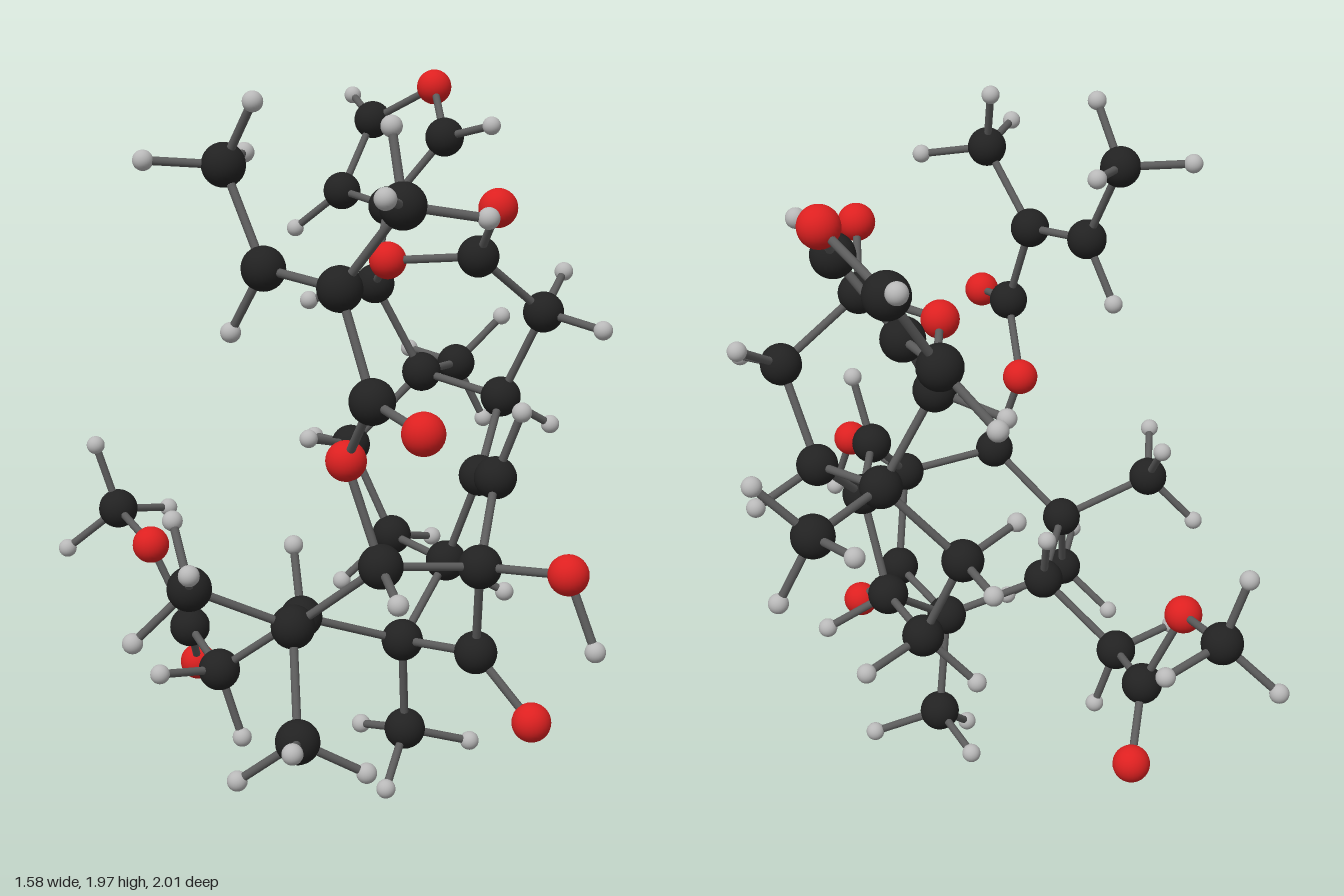
import * as THREE from 'three';

const V = (x, y, z) => new THREE.Vector3(x, y, z);

// Heavy atoms by fragment: id: [element, x, y, z]
const FRAGMENTS = {
  unsaturatedEster: {
    methylA: ['C', -0.437, 1.785, 0.205], methylB: ['C', -0.217, 1.725, 0.768],
    alkeneCH: ['C', -0.395, 1.535, 0.355], alkeneC: ['C', -0.3, 1.51, 0.598],
    acylC: ['C', -0.27, 1.248, 0.715], acylO: ['O', -0.254, 1.213, 0.947],
    linkO: ['O', -0.25, 1.06, 0.532],
  },
  bridgedRings: {
    r1: ['C', -0.193, 0.797, 0.615], r2: ['C', -0.36, 0.612, 0.445],
    r3: ['C', -0.212, 0.542, 0.18], r4: ['C', 0.08, 0.445, 0.22],
    r5: ['C', 0.15, 0.485, 0.508], r6: ['C', 0.1, 0.757, 0.61],
    r7: ['C', 0.247, 0.94, 0.432], r8: ['C', 0.335, 0.885, 0.195],
    r9: ['C', 0.294, 0.612, 0.082],
    methylC: ['C', -0.626, 0.736, 0.395], methylD: ['C', -0.42, 0.36, 0.6],
    methylE: ['C', 0.122, 0.156, 0.16],
    hydroxyO: ['O', 0.212, 0.786, 0.858], ketoneO: ['O', 0.243, 0.318, 0.647],
  },
  methylEster: {
    chainC: ['C', -0.384, 0.362, 0.005], esterC: ['C', -0.357, 0.402, -0.278],
    esterO: ['O', -0.273, 0.237, -0.425], methoxyO: ['O', -0.447, 0.643, -0.347],
    methoxyC: ['C', -0.447, 0.688, -0.617],
  },
  lactoneRings: {
    c1: ['C', 0.27, 0.62, -0.21], c2: ['C', 0.185, 0.885, -0.315],
    c3: ['C', 0.39, 1.1, -0.252], c4: ['C', 0.5, 1.065, 0.027],
    methylF: ['C', 0.618, 1.075, -0.447], l1: ['C', 0.566, 1.325, 0.145],
    l2: ['C', 0.336, 1.5, 0.17], lactoneO: ['O', 0.298, 1.652, 0.337],
    ringO: ['O', 0.163, 1.474, -0.038], l3: ['C', 0.249, 1.37, -0.285],
  },
  furanRing: {
    f1: ['C', 0.374, 1.577, -0.447], f2: ['C', 0.526, 1.783, -0.37],
    fO: ['O', 0.604, 1.92, -0.58], f3: ['C', 0.5, 1.81, -0.793],
    f4: ['C', 0.357, 1.598, -0.723],
  },
};

// Bonds, written as chains of neighbouring atoms
const CHAINS = [
  'methylA alkeneCH alkeneC acylC linkO r1', 'methylB alkeneC', 'acylC acylO',
  'r1 r2 r3 r4 r5 r6 r1', 'r6 r7 r8 r9 r4', 'methylC r2 methylD', 'methylE r4',
  'r6 hydroxyO', 'r5 ketoneO', 'r3 chainC esterC methoxyO methoxyC', 'esterC esterO',
  'r9 c1 c2 c3 c4 r8', 'methylF c3 l3 ringO l2 l1 c4', 'l2 lactoneO',
  'l3 f1 f2 fO f3 f4 f1',
];

// Hydrogens: single ones, pairs, and methyls given by their first hydrogen
const SINGLE_H = 'alkeneCH r1 r3 r7 r9 c4 l3 f2 f3 f4'.split(' ');
const DOUBLE_H = 'chainC c1 c2 l1'.split(' ');
const METHYL_H = {
  methylA: [-0.406, 1.952, 0.324], methylB: [-0.198, 1.912, 0.668],
  methylC: [-0.61, 0.885, 0.24], methylD: [-0.52, 0.408, 0.783],
  methylE: [0, 0.033, 0.277], methylF: [0.767, 1.222, -0.415],
  methoxyC: [-0.503, 0.886, -0.65],
};
const HYDROXY_H = [0.25, 0.612, 0.921];
const H_LENGTH = 0.205;

const material = (color) => new THREE.MeshStandardMaterial({ color });
const LOOK = {
  C: { name: 'carbonAtom', radius: 0.058, mat: material(0x222222) },
  O: { name: 'oxygenAtom', radius: 0.053, mat: material(0xdd2020) },
  H: { name: 'hydrogenAtom', radius: 0.027, mat: material(0xb8b8b8) },
};
for (const look of Object.values(LOOK)) look.geo = new THREE.SphereGeometry(look.radius, 24, 16);
const bondMat = material(0x5c5c5c);
const bondGeo = new THREE.CylinderGeometry(0.0115, 0.0115, 1, 12, 1, true);

function addAtom(parent, element, position) {
  const { name, geo, mat } = LOOK[element];
  const mesh = new THREE.Mesh(geo, mat);
  mesh.name = name;
  mesh.position.copy(position);
  parent.add(mesh);
}

function addBond(parent, a, b) {
  const dir = b.clone().sub(a);
  const mesh = new THREE.Mesh(bondGeo, bondMat);
  mesh.name = 'bond';
  mesh.position.copy(a).lerp(b, 0.5);
  mesh.scale.y = dir.length();
  mesh.quaternion.setFromUnitVectors(V(0, 1, 0), dir.normalize());
  parent.add(mesh);
}

export function createModel() {
  const model = new THREE.Group();
  model.name = 'moleculeModel';
  const atoms = {};

  // Carbon and oxygen atoms
  for (const [name, list] of Object.entries(FRAGMENTS)) {
    const group = new THREE.Group();
    group.name = name;
    model.add(group);
    for (const [id, [element, x, y, z]] of Object.entries(list)) {
      atoms[id] = { pos: V(x, y, z), group, near: [] };
      addAtom(group, element, atoms[id].pos);
    }
  }

  // Bonds between them
  for (const chain of CHAINS) {
    const ids = chain.split(' ');
    for (let i = 1; i < ids.length; i++) {
      const a = atoms[ids[i - 1]], b = atoms[ids[i]];
      a.near.push(b.pos);
      b.near.push(a.pos);
      addBond(a.group, a.pos, b.pos);
    }
  }

  const addHydrogen = (atom, dir) => {
    const end = atom.pos.clone().addScaledVector(dir.clone().normalize(), H_LENGTH);
    addAtom(atom.group, 'H', end);
    addBond(atom.group, atom.pos, end);
  };
  const directions = (atom) => atom.near.map((p) => p.clone().sub(atom.pos).normalize());
  const away = (dirs) => dirs.reduce((sum, d) => sum.sub(d), V(0, 0, 0)).normalize();

  // One hydrogen points away from all neighbours
  for (const id of SINGLE_H) addHydrogen(atoms[id], away(directions(atoms[id])));

  // Two hydrogens straddle the plane of the neighbours
  for (const id of DOUBLE_H) {
    const dirs = directions(atoms[id]);
    const normal = dirs[0].clone().cross(dirs[1]).normalize();
    for (const side of [-1, 1]) {
      addHydrogen(atoms[id], away(dirs).multiplyScalar(0.58).addScaledVector(normal, 0.815 * side));
    }
  }

  // Three methyl hydrogens turn around the bond
  for (const [id, first] of Object.entries(METHYL_H)) {
    const axis = directions(atoms[id])[0];
    const dir = V(...first).sub(atoms[id].pos);
    for (let k = 0; k < 3; k++) {
      addHydrogen(atoms[id], dir.clone().applyAxisAngle(axis, (k * Math.PI * 2) / 3));
    }
  }

  addHydrogen(atoms.hydroxyO, V(...HYDROXY_H).sub(atoms.hydroxyO.pos));
  return model;
}
